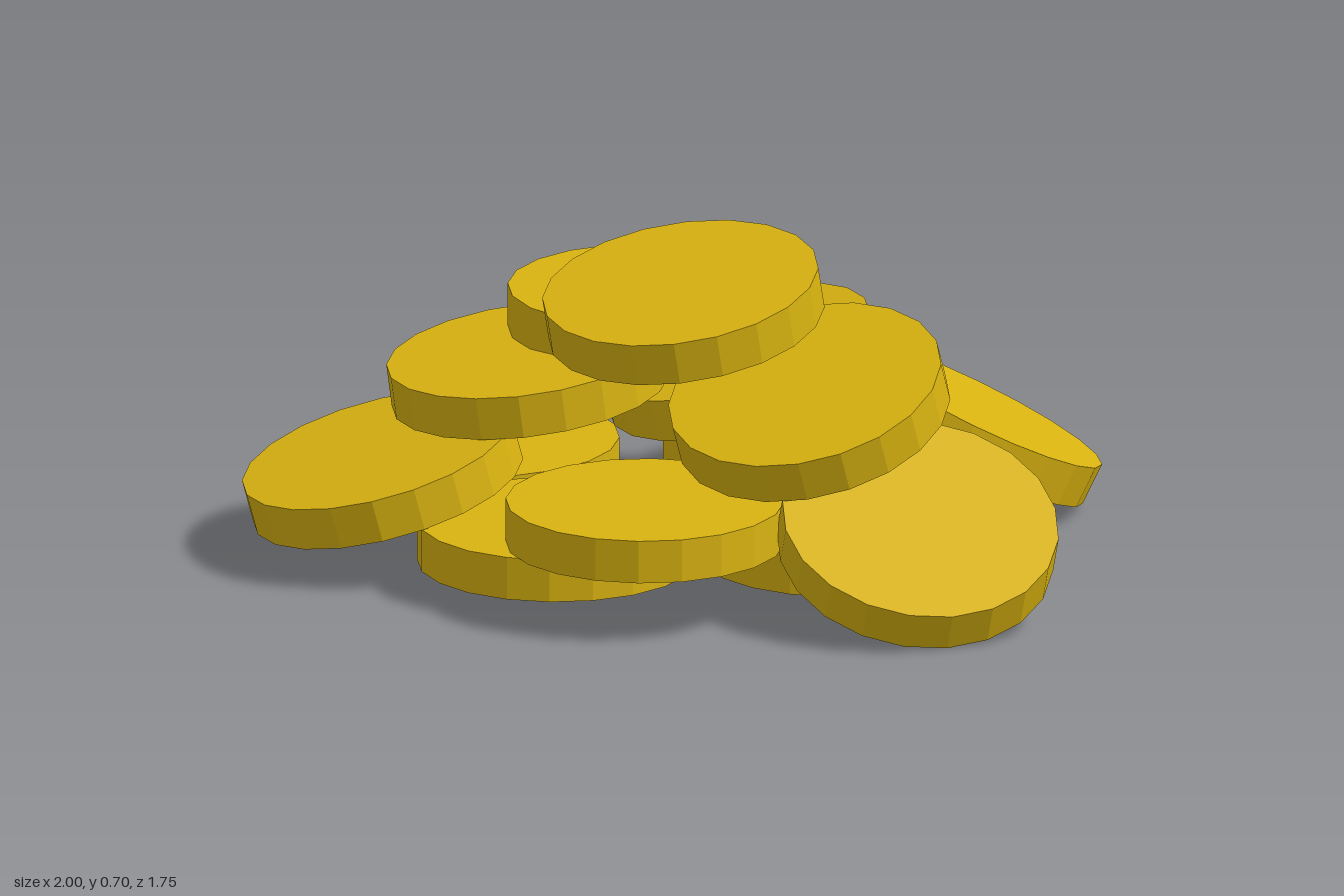
import * as THREE from 'three';

const RADIUS = 0.3175;
const THICKNESS = 0.1;

// Each coin: name, centre x, y, z, then tilt about x and z (radians)
const COINS = [
  // bottom layer, lying flat
  ['bottomCoinBackRight', -0.36, 0.1, -0.56, 0, 0],
  ['bottomCoinBackLeft', 0.37, 0.1, -0.45, 0, 0],
  ['bottomCoinFrontRight', -0.36, 0.1, 0.1, 0, 0],
  ['bottomCoinFrontLeft', 0.272, 0.1, 0.232, 0, 0],
  // coins leaning on the sides of the pile
  ['leaningCoinRight', -0.685, 0.2, -0.21, 0, 0.262],
  ['leaningCoinLeft', 0.692, 0.198, -0.21, 0, -0.471],
  ['leaningCoinFront', 0.363, 0.195, 0.573, 0.489, 0],
  // middle layer
  ['middleCoinFront', -0.212, 0.2, 0.325, 0, 0],
  ['middleCoinRight', -0.32, 0.38, -0.297, 0, 0.13],
  ['middleCoinLeft', 0.18, 0.36, -0.297, 0, 0.255],
  // upper layer
  ['upperCoinFront', 0.19, 0.433, 0.27, 0.23, 0.28],
  ['upperCoinBack', -0.012, 0.48, -0.392, 0, 0],
  ['topCoin', -0.015, 0.586, -0.067, 0.105, 0.175],
];

export function createModel() {
  const pile = new THREE.Group();
  pile.name = 'coinPile';

  const gold = new THREE.MeshStandardMaterial({ color: 0xd9b310, flatShading: true });
  const disc = new THREE.CylinderGeometry(RADIUS, RADIUS, THICKNESS, 20);

  for (const [name, x, y, z, tiltX, tiltZ] of COINS) {
    const coin = new THREE.Mesh(disc, gold);
    coin.name = name;
    coin.position.set(x, y, z);
    coin.rotation.set(tiltX, 0, tiltZ);
    pile.add(coin);
  }
  return pile;
}
